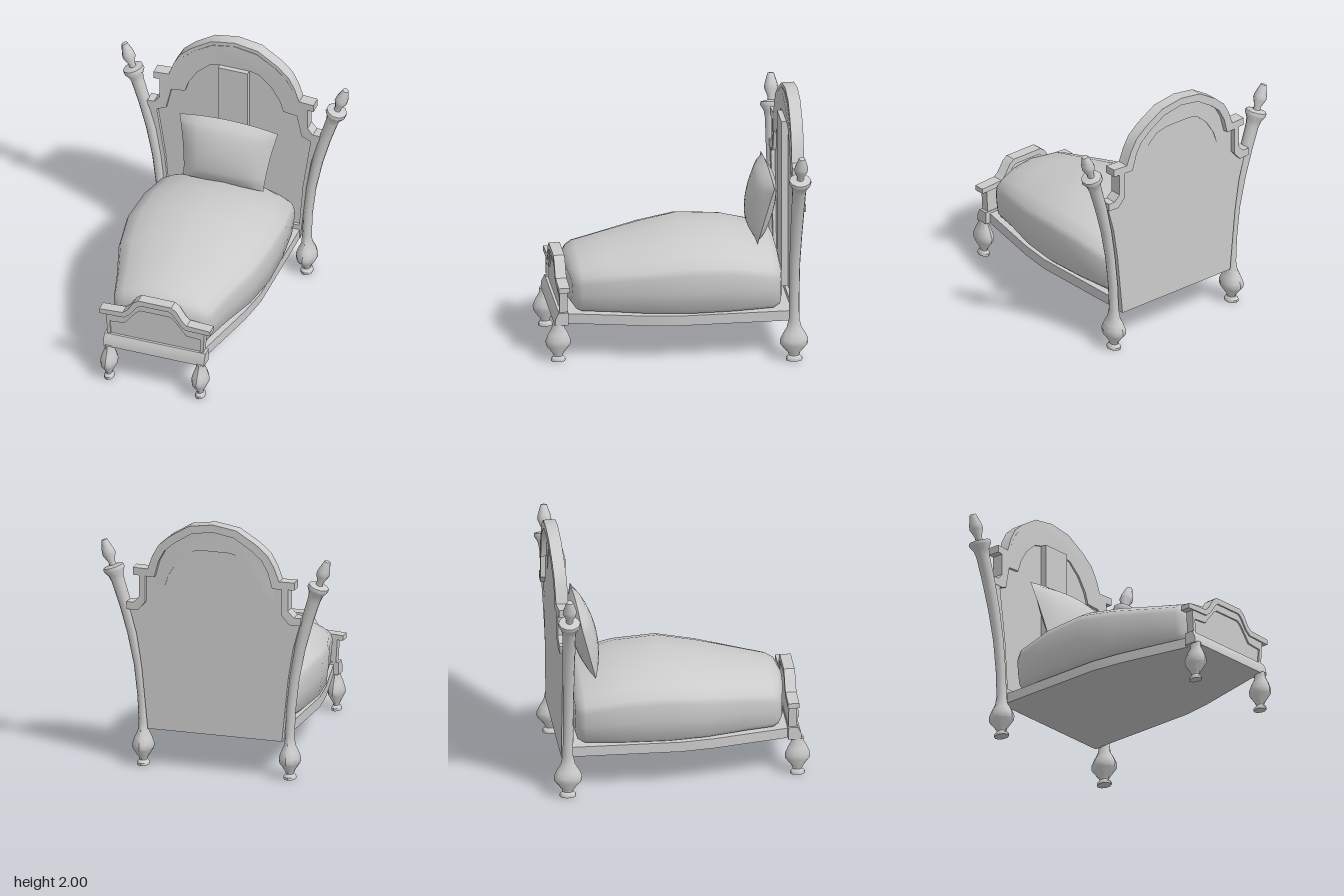
import * as THREE from 'three';
import { toCreasedNormals } from 'three/addons/utils/BufferGeometryUtils.js';

const material = new THREE.MeshStandardMaterial({ color: 0xcccccc });

function part(name, geometry, crease = 0.6) {
  const mesh = new THREE.Mesh(toCreasedNormals(geometry, crease), material);
  mesh.name = name;
  return mesh;
}

// Moves every vertex by a rule.
function warp(geometry, rule) {
  const p = geometry.attributes.position;
  const v = new THREE.Vector3();
  for (let i = 0; i < p.count; i++) {
    rule(v.fromBufferAttribute(p, i));
    p.setXYZ(i, v.x, v.y, v.z);
  }
  return geometry;
}

// Right half of an outline, continued over to the left.
const mirror = (half) => [...half, ...half.filter((p) => p[0] !== 0).reverse().map(([x, y]) => [-x, y])];
const vectors = (pts) => pts.map(([x, y]) => new THREE.Vector2(x, y));

function slab(pts, z0, z1, hole) {
  const shape = new THREE.Shape(vectors(pts));
  if (hole) shape.holes.push(new THREE.Path(vectors(hole)));
  return new THREE.ExtrudeGeometry(shape, { depth: z1 - z0, bevelEnabled: false }).translate(0, 0, z0);
}

// Strip between an outer and an inner half outline.
const band = (outer, inner) => [...mirror(outer), ...mirror(inner).reverse()];

// Closed skin over equal rings, counter-clockwise seen from +z, running towards +z.
function loft(rings) {
  const n = rings[0].length, pos = rings.flat(2), index = [];
  for (let i = 0; i < rings.length - 1; i++)
    for (let j = 0; j < n; j++) {
      const a = i * n + j, b = i * n + ((j + 1) % n);
      index.push(a, b, b + n, a, b + n, a + n);
    }
  [0, rings.length - 1].forEach((r, end) => {
    const centre = pos.length / 3;
    for (let k = 0; k < 3; k++) pos.push(rings[r].reduce((s, p) => s + p[k], 0) / n);
    for (let j = 0; j < n; j++) {
      const a = r * n + j, b = r * n + ((j + 1) % n);
      index.push(centre, end ? a : b, end ? b : a);
    }
  });
  const g = new THREE.BufferGeometry();
  g.setAttribute('position', new THREE.Float32BufferAttribute(pos, 3));
  g.setIndex(index);
  return g;
}

// Turned posts: a lathe bent outwards above the foot.
const foot = [[0, 0], [0.048, 0], [0.048, 0.02], [0.03, 0.04], [0.035, 0.06], [0.08, 0.13], [0.082, 0.17], [0.065, 0.22], [0.042, 0.27]];
const shaft = [[0.036, 0.34], [0.036, 0.55], [0.037, 0.8], [0.041, 1.05], [0.045, 1.27], [0.047, 1.45], [0.055, 1.5], [0.078, 1.54], [0.075, 1.565]];
const finial = [[0.025, 1.575], [0.025, 1.6], [0.048, 1.66], [0.045, 1.69], [0.022, 1.77], [0, 1.775]];

function post(side) {
  const g = new THREE.LatheGeometry(vectors([...foot, ...shaft, ...finial]), 10);
  return warp(g, (v) => {
    const t = Math.max(0, Math.min(v.y, 1.45) - 0.3);
    const slope = 0.3 * t;
    const x = 0.59 + 0.15 * t * t + slope * Math.max(0, v.y - 1.45);
    v.z = v.z * (v.y < 0.3 ? 1.33 : 1.12) - 0.885 - 0.02 * Math.max(0, v.y - 0.8);
    v.y -= side * slope * v.x;
    v.x += side * x;
  });
}

function frontLeg(side) {
  const g = new THREE.LatheGeometry(vectors([...foot, [0.04, 0.31], [0, 0.31]]), 10);
  return g.scale(0.8, 1, 1.18).translate(side * 0.37, 0, 0.905);
}

function mattress() {
  // z, half width, crown height, bottom height
  const sections = [
    [-0.81, 0.46, 0.75, 0.45], [-0.795, 0.51, 0.805, 0.405], [-0.74, 0.545, 0.84, 0.385],
    [-0.43, 0.583, 0.92, 0.385], [-0.1, 0.592, 0.945, 0.385], [0.2, 0.548, 0.893, 0.385],
    [0.5, 0.455, 0.833, 0.385], [0.72, 0.4, 0.785, 0.385], [0.785, 0.375, 0.75, 0.4], [0.82, 0.33, 0.69, 0.45],
  ];
  return loft(sections.map(([z, w, h, b]) => {
    const s = b + (h - b) * 0.7;
    const half = [[0, b], [0.5, b], [0.88, b + 0.005], [0.955, b + 0.045], [0.985, b + (s - b) * 0.5],
      [1, s - 0.05], [0.97, s], [0.8, s + (h - s) * 0.37], [0.5, s + (h - s) * 0.78], [0, h]];
    return mirror(half.map(([x, y]) => [x * w, y]))
      .map(([x, y]) => [x, y, z - (z > 0.75 ? 0.03 * (x / w) ** 2 : 0)]);
  }));
}

// Pillow: two bulging faces meeting along a seam, leaning on the headboard.
function pillow() {
  const n = 10, pos = [], index = [];
  for (const face of [1, -1]) {
    const start = pos.length / 3;
    for (let j = 0; j <= n; j++)
      for (let i = 0; i <= n; i++) {
        const u = (i / n) * 2 - 1, v = (j / n) * 2 - 1, t = (v + 1) / 2;
        const x = u * (0.325 + 0.075 * t ** 1.6);
        const puff = Math.sqrt((1 - u * u) * (1 - v * v));
        const y = 0.85 + 0.48 * t + (1 - u * u) * 0.035 * t;
        pos.push(x, y + face * puff * 0.02, -0.64 - 0.12 * t + face * 0.095 * puff);
      }
    for (let j = 0; j < n; j++)
      for (let i = 0; i < n; i++) {
        const a = start + j * (n + 1) + i, b = a + 1, c = b + n + 1, d = a + n + 1;
        index.push(...(face > 0 ? [a, b, c, a, c, d] : [a, c, b, a, d, c]));
      }
  }
  const g = new THREE.BufferGeometry();
  g.setAttribute('position', new THREE.Float32BufferAttribute(pos, 3));
  g.setIndex(index);
  return g;
}

function headboard() {
  const group = new THREE.Group();
  group.name = 'headboard';
  const bow = (amount) => (v) => { v.z -= amount * Math.max(0, 1 - (v.x / 0.65) ** 2); };
  const sides = [[0.54, 0.3], [0.59, 0.8], [0.63, 1.05], [0.7, 1.3]];
  const arch = [[0.645, 1.31], [0.6, 1.36], [0.6, 1.53], [0.65, 1.53], [0.65, 1.59], [0.53, 1.59],
    [0.49, 1.7], [0.44, 1.79], [0.35, 1.87], [0.19, 1.97], [0, 2]];
  const inner = [[0.7, 1.25], [0.61, 1.25], [0.55, 1.32], [0.55, 1.53], [0.475, 1.53], [0.44, 1.66],
    [0.39, 1.75], [0.31, 1.82], [0.17, 1.91], [0, 1.94]];
  const board = [...sides, [0.645, 1.3], [0.58, 1.36], [0.58, 1.56], [0.51, 1.57],
    [0.47, 1.69], [0.42, 1.77], [0.33, 1.85], [0.18, 1.94], [0, 1.97]];
  const opening = [[0.53, 0.42], [0.56, 0.8], [0.625, 1.24], [0.55, 1.27], [0.51, 1.45], [0.4, 1.46],
    [0.37, 1.55], [0.3, 1.66], [0.2, 1.75], [0.12, 1.77]];
  group.add(
    part('headboardPanel', slab(mirror(board), -0.93, -0.9)),
    part('headboardFrame', warp(slab(mirror(board), -0.92, -0.868, mirror(opening)), bow(0.022))),
    part('headboardMoulding', warp(slab(band([[0.7, 1.31], ...arch], inner), -0.96, -0.865), bow(0.03))),
    part('headboardCentreBoard', slab(mirror([[0.12, 0.42], [0.12, 1.77]]), -0.92, -0.85)),
  );
  return group;
}

function footboard() {
  const group = new THREE.Group();
  group.name = 'footboard';
  const top = [[0.45, 0.58], [0.45, 0.62], [0.26, 0.63], [0.225, 0.66], [0.175, 0.74], [0.135, 0.77]];
  const under = [[0.44, 0.58], [0.25, 0.585], [0.205, 0.62], [0.15, 0.7], [0.12, 0.725]];
  const board = [[0.385, 0.34], [0.4, 0.595], [0.25, 0.6], [0.2, 0.64], [0.15, 0.72], [0.125, 0.745]];
  const opening = [[0.36, 0.385], [0.37, 0.515], [0.25, 0.525], [0.2, 0.59], [0.15, 0.65], [0.12, 0.67]];
  const sill = [[-0.83, 0.3], [-0.935, 0.3], [-0.93, 0.35], [-0.905, 0.4], [-0.83, 0.4]];
  group.add(
    part('footboardPanel', slab(mirror(board), 0.835, 0.885)),
    part('footboardFrame', slab(mirror(board), 0.88, 0.898, mirror(opening))),
    part('footboardMoulding', slab(band(top, under), 0.825, 0.91)),
    part('footboardSill', slab(sill, -0.41, 0.41).rotateY(Math.PI / 2)),
  );
  return group;
}

export function createModel() {
  const model = new THREE.Group();
  model.name = 'bed';

  // Tapered base platform
  const plan = mirror([[0.365, -0.86], [0.5, -0.25], [0.535, 0], [0.535, 0.9]]);
  model.add(part('bedBase', slab(plan, 0.3, 0.38).rotateX(-Math.PI / 2)));

  model.add(part('mattress', mattress(), 1.0), part('pillow', pillow(), 1.0));
  model.add(headboard(), footboard());
  for (const side of [1, -1]) {
    const name = side > 0 ? 'left' : 'right';
    model.add(part(name + 'BackPost', post(side), 0.75), part(name + 'FrontLeg', frontLeg(side), 0.75));
  }
  return model;
}
